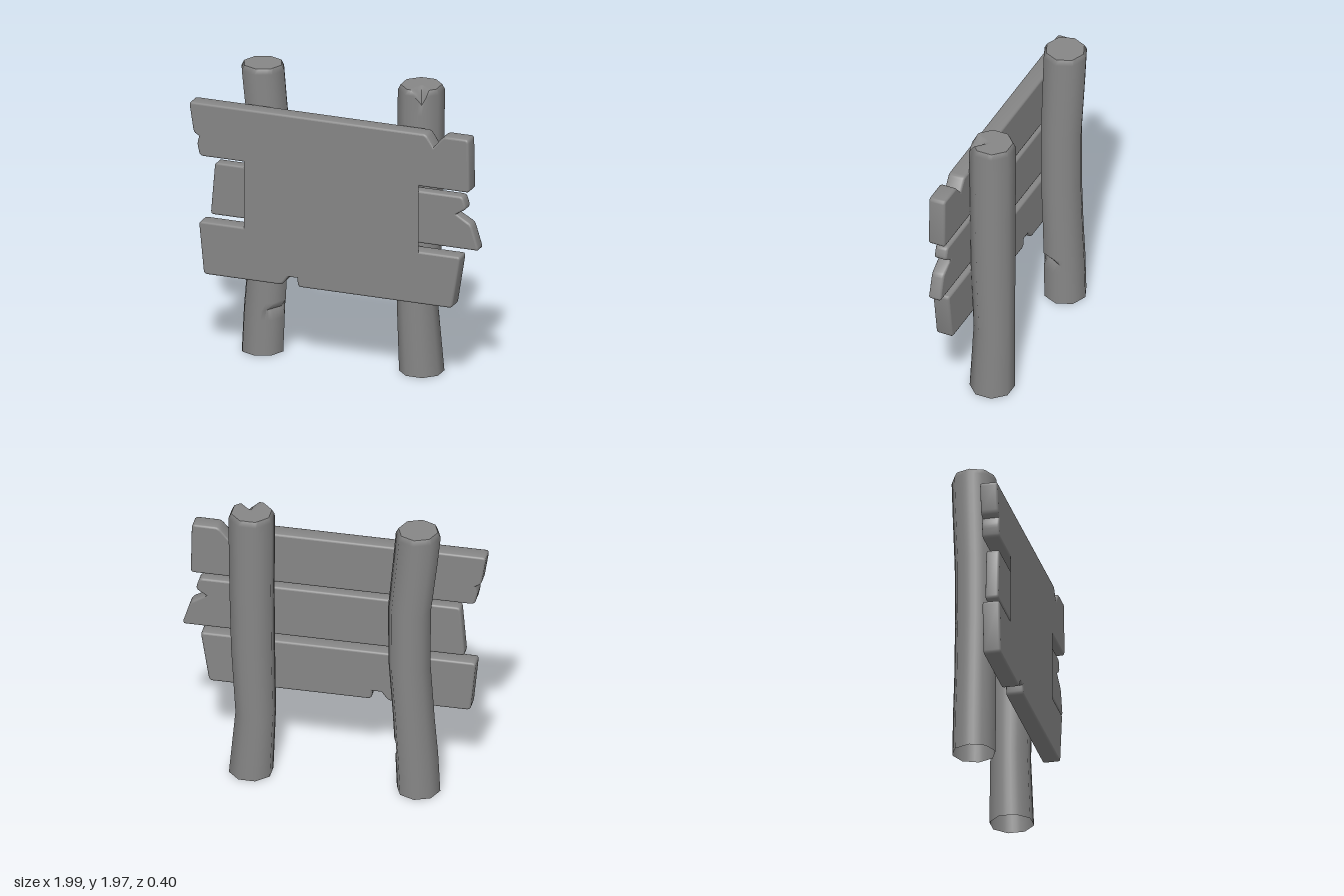
import * as THREE from 'three';
import { toCreasedNormals } from 'three/addons/utils/BufferGeometryUtils.js';

const material = new THREE.MeshStandardMaterial({ color: 0x868686 });
const openMaterial = new THREE.MeshStandardMaterial({ color: 0x868686, side: THREE.DoubleSide });

// Closed counter-clockwise outline whose outward corners are softened
function softShape(outline, soft = 0.024) {
  const points = outline.map(([x, y]) => new THREE.Vector2(x, y));
  const shape = new THREE.Shape();
  points.forEach((p, i) => {
    const toPrev = points.at(i - 1).clone().sub(p).normalize();
    const toNext = points[(i + 1) % points.length].clone().sub(p).normalize();
    const convex = toNext.cross(toPrev) > 0;
    const start = convex ? p.clone().addScaledVector(toPrev, soft) : p;
    if (i === 0) shape.moveTo(start.x, start.y);
    else shape.lineTo(start.x, start.y);
    if (convex) {
      const end = p.clone().addScaledVector(toNext, soft);
      shape.quadraticCurveTo(p.x, p.y, end.x, end.y);
    }
  });
  shape.closePath();
  return shape;
}

// Rounded board cut from an outline, spanning zBack to zFront
function makePlank(name, outline, zBack, zFront) {
  const bevel = 0.013;
  const extruded = new THREE.ExtrudeGeometry(softShape(outline), {
    depth: zFront - zBack - 2 * bevel, curveSegments: 3,
    bevelThickness: bevel, bevelSize: bevel, bevelOffset: -bevel, bevelSegments: 2,
  });
  extruded.translate(0, 0, zBack + bevel);
  const geometry = toCreasedNormals(extruded, 0.9);
  // keep the broad faces evenly flat
  const { position, normal } = geometry.attributes;
  for (let i = 0; i < position.count; i += 3) {
    const z = [0, 1, 2].map((k) => position.getZ(i + k));
    if (Math.max(...z) - Math.min(...z) > 1e-5) continue;
    const facing = z[0] > (zBack + zFront) / 2 ? 1 : -1;
    for (let k = 0; k < 3; k++) normal.setXYZ(i + k, 0, 0, facing);
  }
  const mesh = new THREE.Mesh(geometry, material);
  mesh.name = name;
  return mesh;
}

// Octagonal log, open below, through rings of [y, centre x, radius]; carve(point, centreX) cuts the damage
function makePost(name, rings, turn, zCentre, carve) {
  const sides = 8, split = 4, count = sides * split, top = 1.965;
  const positions = [], radials = [], indices = [];
  const corner = (i) => {
    const a = turn + (i / sides) * Math.PI * 2;
    return new THREE.Vector2(Math.cos(a), Math.sin(a));
  };
  const [, topX, topR] = rings[rings.length - 1];
  // trunk, chamfer and top cap
  const rows = [...rings, ...[0.88, 0.65, 0.4, 0.2, 0].map((s) => [top, topX, topR * s])];
  rows.forEach(([y, cx, r], row) => {
    for (let i = 0; i < count; i++) {
      const k = Math.floor(i / split);
      const c = corner(k).lerp(corner(k + 1), (i % split) / split);
      const p = new THREE.Vector3(cx + c.x * r, y, zCentre + c.y * r);
      const before = p.clone();
      carve(p, cx);
      positions.push(p.x, p.y, p.z);
      // uncarved trunk points are shaded as round
      c.normalize();
      if (row < rings.length && p.equals(before)) radials.push(c.x, 0, c.y);
      else radials.push(0, 0, 0);
      if (row === 0) continue;
      const j = (i + 1) % count, a = (row - 1) * count, b = row * count;
      indices.push(a + i, b + i, a + j);
      if (row < rows.length - 1) indices.push(a + j, b + i, b + j);
    }
  });
  const indexed = new THREE.BufferGeometry();
  indexed.setAttribute('position', new THREE.Float32BufferAttribute(positions, 3));
  indexed.setAttribute('radial', new THREE.Float32BufferAttribute(radials, 3));
  indexed.setIndex(indices);
  const geometry = toCreasedNormals(indexed, 0.95);
  const { radial, normal } = geometry.attributes;
  for (let i = 0; i < normal.count; i++) {
    const x = radial.getX(i), z = radial.getZ(i);
    if (x !== 0 || z !== 0) normal.setXYZ(i, x, 0, z);
  }
  geometry.deleteAttribute('radial');
  const mesh = new THREE.Mesh(geometry, openMaterial);
  mesh.name = name;
  return mesh;
}

export function createModel() {
  const group = new THREE.Group();
  group.name = 'signboard';

  // Boards
  group.add(makePlank('topPlank', [
    [-1, 1.722], [-0.968, 1.515], [-0.93, 1.495], [-0.945, 1.445], [-0.925, 1.36],
    [0.947, 1.36], [0.94, 1.722], [0.765, 1.722], [0.697, 1.642], [0.645, 1.722],
  ], 0.08, 0.195));
  group.add(makePlank('middlePlank', [
    [-0.83, 1.318], [-0.86, 0.96], [1.003, 0.96], [0.948, 1.135],
    [0.843, 1.192], [0.915, 1.235], [0.89, 1.318],
  ], 0.083, 0.17));
  group.add(makePlank('bottomPlank', [
    [-0.932, 0.91], [-0.897, 0.552], [-0.355, 0.552], [-0.31, 0.612], [-0.25, 0.612],
    [-0.245, 0.552], [0.825, 0.552], [0.882, 0.91],
  ], 0.08, 0.195));

  // Sheet across the boards
  const sheet = new THREE.Mesh(new THREE.PlaneGeometry(1.21, 1.04), openMaterial);
  sheet.name = 'noticeSheet';
  sheet.position.set(-0.01, 1.14, 0.196);
  group.add(sheet);

  // Bent post with an axe cut low on its inner front side
  const cutAngle = 0.5, cutY = 0.305, zRight = -0.053;
  group.add(makePost('rightPost', [
    [0, -0.585, 0.143], [0.24, -0.574, 0.142], [0.305, -0.57, 0.142], [0.36, -0.566, 0.141],
    [0.55, -0.553, 0.138], [0.95, -0.525, 0.139], [1.36, -0.525, 0.141],
    [1.72, -0.563, 0.146], [1.93, -0.583, 0.148],
  ], 0, zRight, (p, cx) => {
    const dx = Math.cos(cutAngle), dz = Math.sin(cutAngle);
    const limit = 0.09 + Math.abs(p.y - cutY) * 0.95;
    const over = (p.x - cx) * dx + (p.z - zRight) * dz - limit;
    if (over > 0) {
      p.x -= over * dx;
      p.z -= over * dz;
    }
  }));

  // Straighter post with a split running in from a front corner of its top
  const zLeft = -0.057, splitAngle = Math.PI * 3 / 8;
  group.add(makePost('leftPost', [
    [0, 0.517, 0.146], [0.46, 0.487, 0.133], [0.95, 0.505, 0.144],
    [1.4, 0.512, 0.148], [1.8, 0.513, 0.152], [1.93, 0.515, 0.152],
  ], Math.PI / 8, zLeft, (p, cx) => {
    const x = p.x - cx, z = p.z - zLeft;
    const swing = Math.atan2(z, x) - splitAngle;
    const across = swing > 0 ? swing / 0.6 : -swing / 0.4;
    const along = (Math.hypot(x, z) - 0.03) / 0.122;
    const depth = 0.09 * Math.max(0, 1 - across) * Math.max(0, along);
    if (depth > 0) p.y = Math.min(p.y, 1.965 - depth);
  }));

  return group;
}
